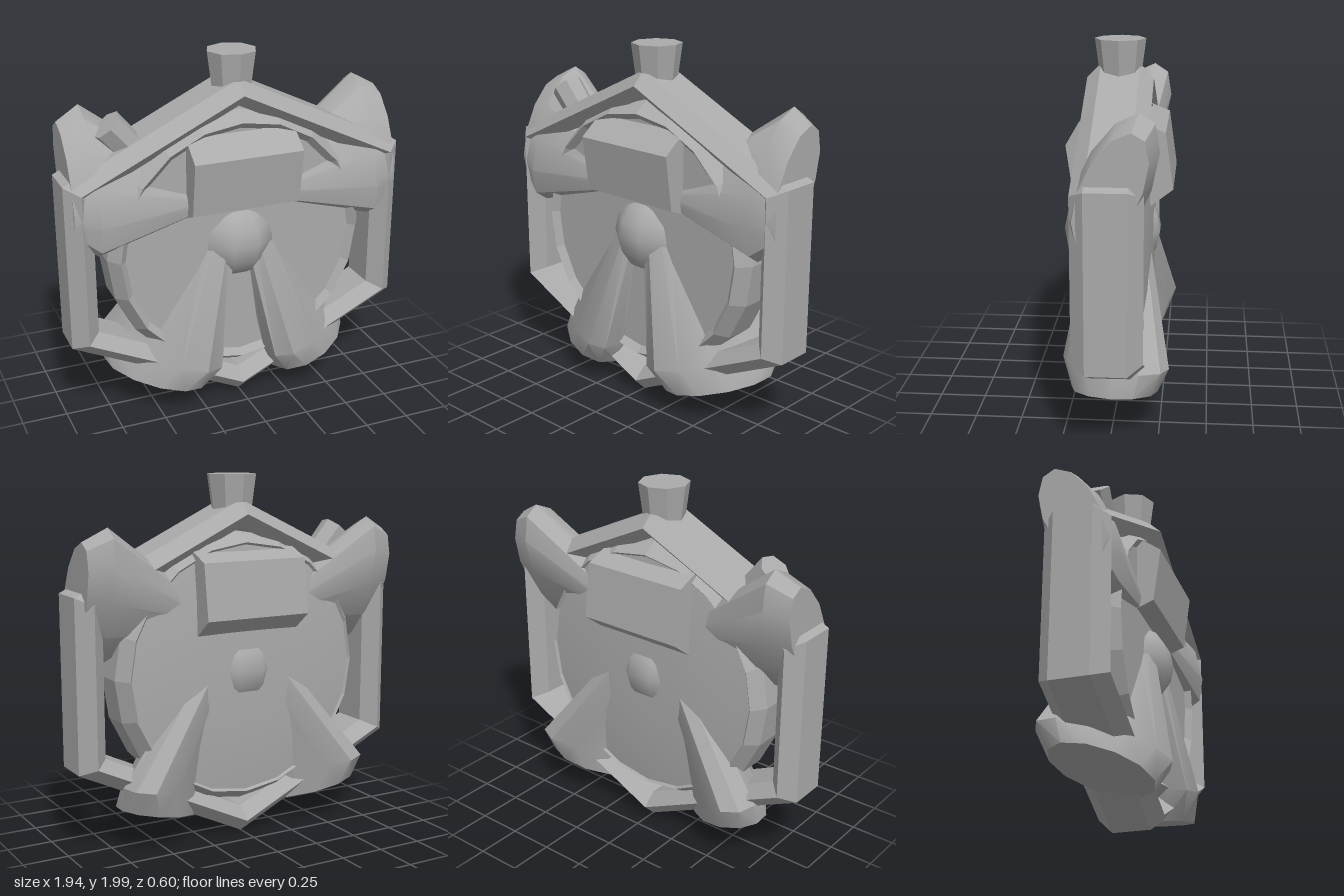
import * as THREE from 'three';
import { toCreasedNormals } from 'three/addons/utils/BufferGeometryUtils.js';

const CENTRE = 0.935;

export function createModel() {
  const model = new THREE.Group();
  const grey = new THREE.MeshStandardMaterial({ color: 0xaaaaaa });

  function add(name, geometry, x = 0, y = 0, z = 0, crease = 0.05) {
    const mesh = new THREE.Mesh(toCreasedNormals(geometry, crease), grey);
    mesh.name = name;
    mesh.position.set(x, y, z);
    model.add(mesh);
    return mesh;
  }

  // Profile of [radius, depth] points spun about the z axis
  function spin(profile, sides) {
    const pts = profile.map(([r, z]) => new THREE.Vector2(r, z));
    return new THREE.LatheGeometry(pts, sides).rotateX(Math.PI / 2);
  }

  // Ring with a six-sided section: flat inside and outside, ridged front and back
  function hexSection(outer, ridge, inner, flat, depth) {
    return [[outer, -flat], [outer, flat], [ridge, depth], [inner, flat],
      [inner, -flat], [ridge, -depth], [outer, -flat]];
  }

  // Tapered limb lofted through slanted ellipses [centre, u, v], closed at the end
  function limb(rings, side) {
    const n = 12, pos = [], idx = [];
    for (const [c, u, v] of rings) {
      for (let j = 0; j < n; j++) {
        const a = (j / n) * Math.PI * 2, cos = Math.cos(a), sin = Math.sin(a);
        const p = c.map((q, k) => q + u[k] * cos + v[k] * sin);
        pos.push(p[0] * side, p[1], p[2]);
      }
    }
    const face = (a, b, c) => (side > 0 ? idx.push(a, b, c) : idx.push(a, c, b));
    for (let i = 0; i < rings.length - 1; i++) {
      for (let j = 0; j < n; j++) {
        const k = (j + 1) % n, a = i * n, b = a + n;
        face(a + j, a + k, b + k);
        face(a + j, b + k, b + j);
      }
    }
    const last = (rings.length - 1) * n;
    for (let j = 1; j < n - 1; j++) face(last, last + j, last + j + 1);
    const g = new THREE.BufferGeometry();
    g.setAttribute('position', new THREE.Float32BufferAttribute(pos, 3));
    g.setIndex(idx);
    return g;
  }

  // Hexagonal outer frame, flattened in height
  const frame = spin(hexSection(1.12, 1.03, 0.945, 0.105, 0.18), 6).scale(1, 0.83, 1);
  add('frame', frame, 0, CENTRE);

  // Round shield: faceted rim, flat front, domed back
  add('rim', spin(hexSection(0.75, 0.695, 0.62, 0.085, 0.165), 20), 0, 0.945);
  add('shieldFront', new THREE.CircleGeometry(0.66, 20), 0, 0.945, 0.13);
  const dome = [[0.001, -0.19], [0.25, -0.187], [0.5, -0.175], [0.7, -0.15], [0.745, -0.085]];
  add('shieldBack', spin(dome, 20), 0, 0.945, 0, 0.5);

  // Hub showing on both faces
  add('hub', new THREE.SphereGeometry(0.235, 10, 8), 0, 0.945, 0, 1);

  // Six-sided bar running across through the shield
  const bar = new THREE.CylinderGeometry(0.305, 0.305, 0.62, 6).rotateZ(Math.PI / 2);
  const barMesh = add('crossBar', bar, 0, 1.365, -0.018);
  // A cylinder corner starts on +z; tip it up to slant the front face
  barMesh.rotation.x = -THREE.MathUtils.degToRad(22);

  // Four limbs spreading from the hub
  for (const side of [1, -1]) {
    const word = side > 0 ? 'left' : 'right';
    const lower = [
      [[0.08, 1.09, 0], [0.10, 0.02, 0], [-0.02, -0.01, 0.14]],
      [[0.44, 0.32, 0], [0.24, 0.04, 0], [-0.18, -0.05, 0.30]],
      [[0.475, 0.18, 0], [0.245, 0.055, 0], [-0.1, -0.04, 0.24]],
    ];
    const upper = [
      [[0.18, 1.22, 0.01], [0, 0.08, -0.02], [0, 0, 0.13]],
      [[0.8, 1.37, -0.02], [0, 0.38, -0.13], [0, 0, 0.19]],
      [[0.93, 1.39, -0.02], [0, 0.29, -0.1], [0, 0, 0.155]],
    ];
    add(word + 'LowerLimb', limb(lower, side), 0, 0, 0, 0.62);
    add(word + 'UpperLimb', limb(upper, side), 0, 0, 0, 0.62);
  }

  // Stalk on top of the frame
  add('stalk', new THREE.CylinderGeometry(0.138, 0.105, 0.25, 8), 0, 1.875, 0);

  // Small tilted knob on the right shoulder
  const knob = add('knob', new THREE.CylinderGeometry(0.092, 0.085, 0.26, 7), -0.615, 1.575, 0.01);
  knob.rotation.z = THREE.MathUtils.degToRad(41);

  return model;
}
